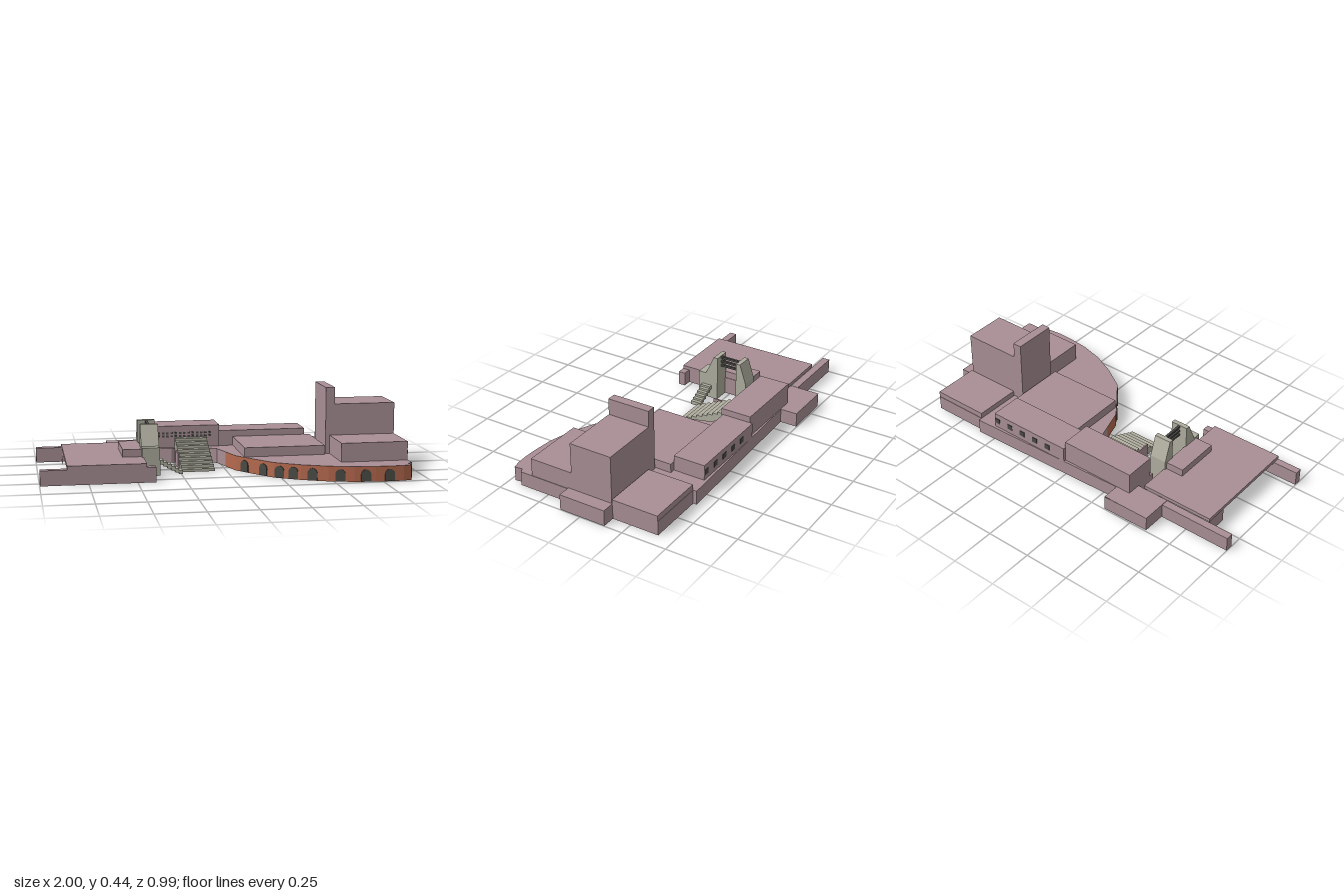
import * as THREE from 'three';

const mat = (name, color, side = THREE.DoubleSide) => {
  const m = new THREE.MeshStandardMaterial({ color, side, flatShading: true });
  m.name = name;
  return m;
};

export function createModel() {
  const model = new THREE.Group();
  const mauve = mat('mauve render', 0xa88f95);
  const brick = mat('orange brick', 0xb4694e);
  const stone = mat('pale stone', 0xb0ae9f);
  const dark = mat('dark glass', 0x4a4a46);

  const add = (name, geo, material, parent = model) => {
    const mesh = new THREE.Mesh(geo, material);
    mesh.name = name;
    parent.add(mesh);
    return mesh;
  };
  // box given by its limits
  const box = (name, x0, x1, y0, y1, z0, z1, material = mauve, parent = model) => {
    const mesh = add(name, new THREE.BoxGeometry(x1 - x0, y1 - y0, z1 - z0), material, parent);
    mesh.position.set((x0 + x1) / 2, (y0 + y1) / 2, (z0 + z1) / 2);
    return mesh;
  };
  // upright wall along a plan path
  const wall = (name, path, h, material) => {
    const pos = [];
    for (let i = 0; i + 1 < path.length; i++) {
      const [ax, az] = path[i], [bx, bz] = path[i + 1];
      pos.push(ax, 0, az, bx, 0, bz, bx, h, bz, ax, 0, az, bx, h, bz, ax, h, az);
    }
    const geo = new THREE.BufferGeometry();
    geo.setAttribute('position', new THREE.Float32BufferAttribute(pos, 3));
    geo.computeVertexNormals();
    return add(name, geo, material);
  };
  // profile in (z, y) extruded along x
  const extrudeX = (name, pts, x0, x1, material) => {
    const shape = new THREE.Shape(pts.map(([z, y]) => new THREE.Vector2(-z, y)));
    const geo = new THREE.ExtrudeGeometry(shape, { depth: x1 - x0, bevelEnabled: false });
    geo.rotateY(Math.PI / 2);
    // after the turn the shape's x axis runs along -z
    geo.translate(x0, 0, 0);
    return add(name, geo, material);
  };

  // main ground floor: open-bottomed shell with a curved brick front
  const H = 0.08;
  const curve = [[0.015, -0.04], [0.05, 0.08], [0.13, 0.19], [0.215, 0.3], [0.34, 0.38], [0.47, 0.44],
    [0.6, 0.475], [0.71, 0.487], [0.8, 0.49], [0.86, 0.486], [0.905, 0.475]];
  const rest = [[0.9, 0.43], [0.925, 0.42], [0.925, -0.41], [0.605, -0.41], [0.605, -0.43], [-0.415, -0.395],
    [-0.415, -0.195], [-0.33, -0.215], [-0.26, -0.19], [-0.22, -0.2], [-0.06, -0.17], [-0.015, -0.14]];
  const outline = [...curve, ...rest];
  const roof = new THREE.ShapeGeometry(new THREE.Shape(outline.map(([x, z]) => new THREE.Vector2(x, -z))));
  roof.rotateX(-Math.PI / 2).translate(0, H, 0);
  add('groundFloorRoof', roof, mauve);
  wall('curvedBrickWall', curve, H, brick);
  wall('groundFloorWall', [curve[curve.length - 1], ...rest, curve[0]], H, mauve);

  // arched windows along the curved wall
  const arch = new THREE.Shape();
  arch.moveTo(-0.026, 0);
  arch.lineTo(0.026, 0);
  arch.lineTo(0.026, 0.036);
  arch.absarc(0, 0.036, 0.026, 0, Math.PI, false);
  const archGeo = new THREE.ExtrudeGeometry(arch, { depth: 0.005, bevelEnabled: false, curveSegments: 5 });
  for (const x of [0.09, 0.17, 0.24, 0.305, 0.395, 0.53, 0.66, 0.785]) {
    const i = curve.findIndex((p) => p[0] > x) - 1;
    const [ax, az] = curve[i], [bx, bz] = curve[i + 1];
    const m = add('archedWindow', archGeo, dark);
    m.position.set(x, 0.003, az + (bz - az) * (x - ax) / (bx - ax));
    m.rotation.y = Math.atan2(az - bz, bx - ax);
  }

  // upper volumes
  box('westWing', -0.415, 0.012, H, 0.2, -0.395, -0.22);
  box('eastWing', 0.012, 0.5, H, 0.165, -0.41, -0.23);
  box('roofTerrace', 0.09, 0.53, H, 0.13, -0.23, 0.125);
  box('tower', 0.54, 0.59, H, 0.44, -0.14, 0.1);
  box('mainBlock', 0.59, 0.922, H, 0.35, -0.14, 0.1);
  box('frontBlock', 0.563, 0.922, H, 0.18, 0.1, 0.35);
  box('northEastBlock', 0.605, 0.927, H, 0.112, -0.408, -0.145);
  box('eastAnnex', 0.925, 0.998, 0, 0.088, -0.146, 0.12);

  // small windows: two rows on the west wing, one row behind the east wing
  for (let i = 0; i < 14; i++) {
    for (const y of [0.143, 0.16]) {
      const x = -0.35 + i * 0.0237;
      box('smallWindow', x - 0.007, x + 0.007, y - 0.005, y + 0.005, -0.221, -0.217, dark);
    }
  }
  for (let i = 0; i < 5; i++) {
    const x = 0.126 + i * 0.0885;
    box('rearWindow', x - 0.016, x + 0.016, 0.107, 0.137, -0.413, -0.409, dark);
  }

  // west hall: raised roof slab on open-ended walls
  box('hallRoof', -0.86, -0.452, H, 0.1, -0.318, 0.312);
  box('hallFrontWall', -0.998, -0.405, 0, H, 0.272, 0.312);
  box('hallBackWall', -0.998, -0.6, 0, H, -0.362, -0.32);
  wall('hallEastWall', [[-0.455, -0.318], [-0.455, 0.272]], H, mauve);
  wall('hallWestWall', [[-0.857, -0.318], [-0.857, -0.19]], H, mauve);
  box('hallUpperBox', -0.56, -0.455, 0.1, 0.14, -0.138, 0.123);
  wall('northWestAnnexWall', [[-0.415, -0.33], [-0.332, -0.33], [-0.332, -0.495], [-0.598, -0.492],
    [-0.598, -0.32], [-0.452, -0.32]], H, mauve);
  const annexRoof = new THREE.PlaneGeometry(0.266, 0.175).rotateX(-Math.PI / 2).translate(-0.465, H, -0.406);
  add('northWestAnnexRoof', annexRoof, mauve);

  // pair of tapering gate pillars with dark bars between them
  extrudeX('frontPillar', [[0.15, 0], [0.15, 0.15], [0.105, 0.15], [0.055, 0.26], [0.03, 0.26], [0.03, 0]],
    -0.46, -0.365, stone);
  extrudeX('backPillar', [[-0.09, 0], [-0.09, 0.26], [-0.115, 0.26], [-0.152, 0.15], [-0.152, 0]],
    -0.46, -0.365, stone);
  for (const y of [0.2, 0.225, 0.25]) box('pillarBar', -0.418, -0.405, y - 0.006, y + 0.006, -0.09, 0.03, dark);

  // wide stair rising to the west wing
  const steps = 9, z0 = 0.08, z1 = -0.22, top = 0.135;
  const profile = [[z1, 0], [z0, 0]];
  for (let i = 0; i < steps; i++) {
    const y = top * (i + 1) / steps;
    profile.push([z0 + (z1 - z0) * i / steps, y], [z0 + (z1 - z0) * (i + 1) / steps, y]);
  }
  extrudeX('wideStair', profile, -0.24, -0.062, stone);
  box('stairSideWall', -0.247, -0.24, 0, H, -0.12, -0.02);

  // narrow side stair going down from the front pillar
  for (let i = 0; i < 6; i++) {
    const x = -0.365 + i * 0.0207, y = 0.078 - i * 0.0115;
    box('sideStep', x, x + 0.0207, Math.max(0, y - 0.022), y, 0.067, 0.127, stone);
  }
  return model;
}
